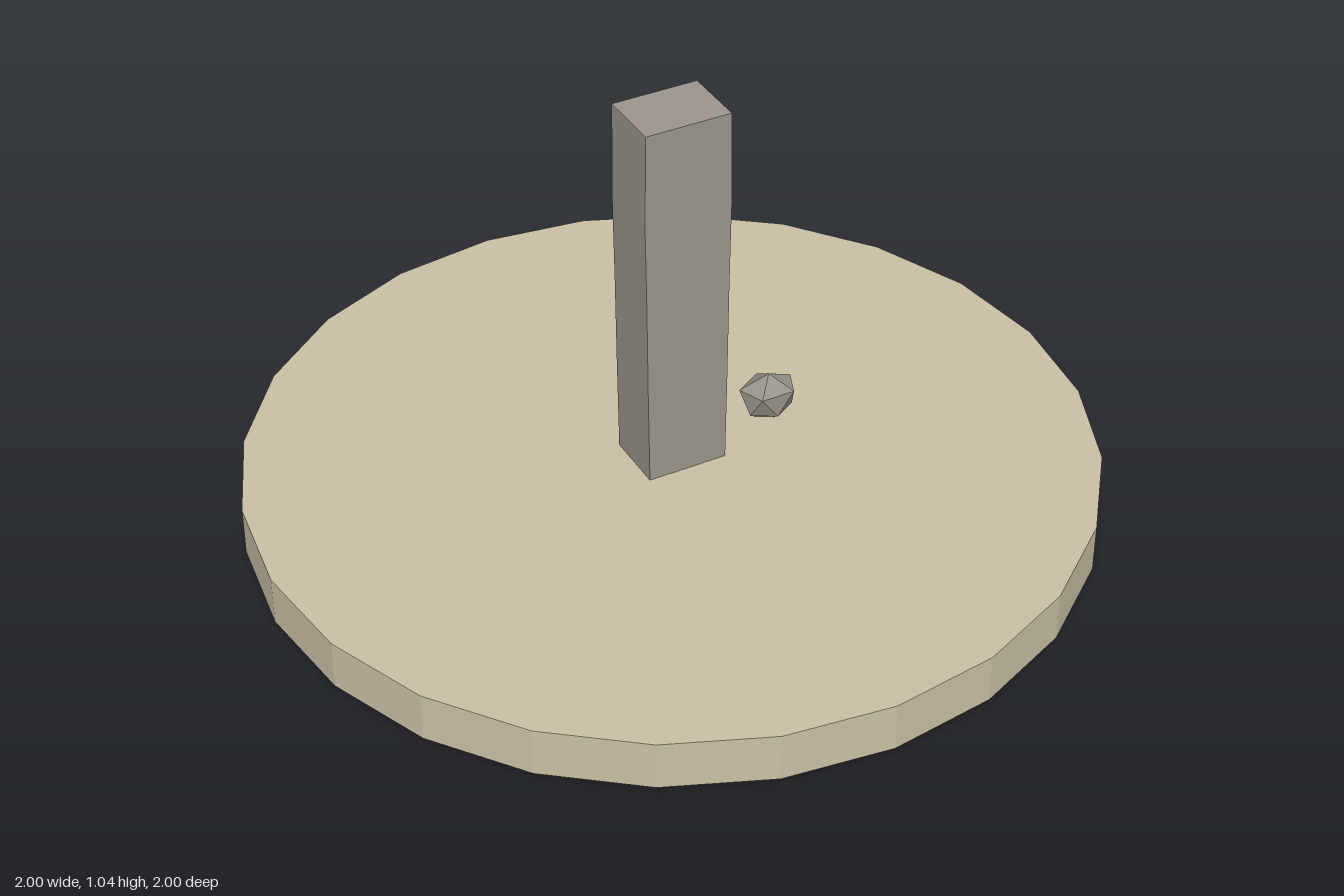
import * as THREE from 'three';

const flat = (name, color) => {
  const m = new THREE.MeshStandardMaterial({ color, flatShading: true });
  m.name = name;
  return m;
};

export function createModel() {
  const group = new THREE.Group();
  group.name = 'monolith';
  const sand = flat('sand', 0xcac0a6);
  const stone = flat('stone', 0x9b958c);
  const relief = flat('paleStone', 0xb9af98);
  const rock = flat('rock', 0x97928a);

  const add = (name, geometry, material, x, y, z, parent = group) => {
    const mesh = new THREE.Mesh(geometry, material);
    mesh.name = name;
    mesh.position.set(x, y, z);
    parent.add(mesh);
    return mesh;
  };

  // Round ground slab
  add('base', new THREE.CylinderGeometry(1, 1, 0.12, 24), sand, 0, 0.06, 0);

  // Weathered slab: narrow at the foot, slightly swollen near the top
  const slab = new THREE.BoxGeometry(0.21, 0.925, 0.16, 1, 4, 1);
  const p = slab.attributes.position;
  const widths = [0.94, 0.97, 0.99, 1.025, 1];
  for (let i = 0; i < p.count; i++) {
    const row = Math.round((p.getY(i) / 0.925 + 0.5) * 4);
    p.setX(i, p.getX(i) * widths[row]);
    if (p.getZ(i) < 0) p.setZ(i, -0.073 - row * 0.001);
  }
  slab.computeVertexNormals();
  add('slab', slab, stone, 0, 0.5825, 0);

  // Raised block patterns on the back: [x, y, width, height] in each
  const patterns = [
    [[0.024, 0.017, 0.042, 0.028], [-0.024, 0.017, 0.042, 0.028],
      [0.024, -0.017, 0.042, 0.028], [-0.024, -0.017, 0.042, 0.028]],
    [[0.032, 0.018, 0.026, 0.02], [-0.032, 0.018, 0.026, 0.02], [0, 0, 0.03, 0.02],
      [0.032, -0.018, 0.026, 0.02], [-0.032, -0.018, 0.026, 0.02]],
    [[-0.03, 0.014, 0.026, 0.028], [0.034, -0.014, 0.026, 0.024],
      [0.002, -0.014, 0.028, 0.024], [-0.03, -0.016, 0.026, 0.024]],
    [[0.024, 0.018, 0.042, 0.024], [-0.024, 0.018, 0.042, 0.024],
      [-0.03, -0.017, 0.028, 0.032]],
  ];
  patterns.forEach((blocks, i) => {
    const panel = new THREE.Group();
    panel.name = `reliefPattern${i + 1}`;
    panel.position.set(-0.004, 0.925 - i * 0.19, -0.079);
    for (const [x, y, w, h] of blocks) {
      add('reliefBlock', new THREE.BoxGeometry(w, h, 0.018), relief, x, y, 0, panel);
    }
    group.add(panel);
  });

  // Faceted boulder, pole up, tapering into the ground
  const boulder = new THREE.IcosahedronGeometry(1, 0);
  boulder.rotateZ(Math.atan(2 / (1 + Math.sqrt(5)))).rotateY(-Math.PI / 2);
  const b = boulder.attributes.position;
  for (let i = 0; i < b.count; i++) {
    const k = b.getY(i) < 0 ? 0.82 : 1;
    b.setXYZ(i, b.getX(i) * k * 0.081, b.getY(i) * 0.065, b.getZ(i) * k * 0.064);
  }
  boulder.computeVertexNormals();
  add('boulder', boulder, rock, 0.275, 0.16, -0.028);

  return group;
}
